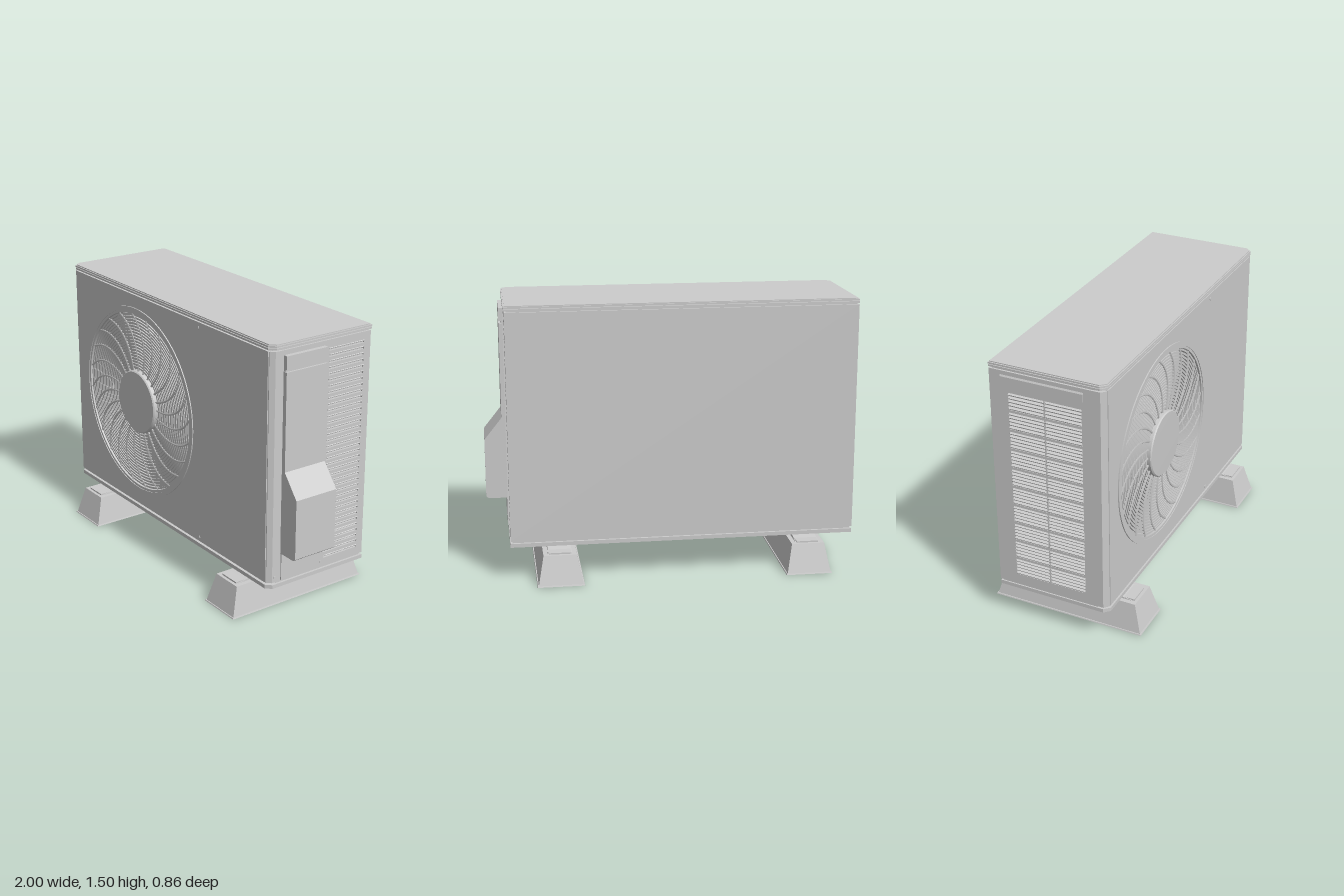
import * as THREE from 'three';
import { toCreasedNormals } from 'three/addons/utils/BufferGeometryUtils.js';

const grey = new THREE.MeshStandardMaterial({ color: 0xcccccc, side: THREE.DoubleSide });

function add(parent, name, geometry, x = 0, y = 0, z = 0) {
  const mesh = new THREE.Mesh(geometry, grey);
  mesh.name = name;
  mesh.position.set(x, y, z);
  parent.add(mesh);
  return mesh;
}

// Box given by its limits on each axis
function block(parent, name, x0, x1, y0, y1, z0, z1) {
  const g = new THREE.BoxGeometry(x1 - x0, y1 - y0, z1 - z0);
  return add(parent, name, g, (x0 + x1) / 2, (y0 + y1) / 2, (z0 + z1) / 2);
}

const poly = pts => new THREE.Shape(pts.map(p => new THREE.Vector2(...p)));
const rect = (u0, u1, v0, v1) => poly([[u0, v0], [u1, v0], [u1, v1], [u0, v1]]);
const extrude = (shape, depth) =>
  new THREE.ExtrudeGeometry(shape, { depth, bevelEnabled: false, curveSegments: 48 });

// Floor plan (x, z) pulled up from y0 to y1
function slab(parent, name, plan, y0, y1) {
  const g = extrude(poly(plan.map(([x, z]) => [x, -z])), y1 - y0).rotateX(-Math.PI / 2);
  return add(parent, name, g, 0, y0, 0);
}

// Side outline (z, y) whose +x surface lies at xOuter
function sidePlate(parent, name, shape, xOuter, depth) {
  return add(parent, name, extrude(shape, depth).rotateY(-Math.PI / 2), xOuter);
}

// Ring of rectangular section about the z axis
function ring(parent, name, r0, r1, z0, z1, segments = 72) {
  const pts = [[r0, z0], [r1, z0], [r1, z1], [r0, z1], [r0, z0]].map(p => new THREE.Vector2(...p));
  const g = new THREE.LatheGeometry(pts, segments).rotateX(Math.PI / 2);
  return add(parent, name, toCreasedNormals(g, 0.6));
}

// Rectangular outline with the two front corners cut
const plan = (x0, x1, z0, z1, c) =>
  [[x0, z0], [x1, z0], [x1, z1 - c], [x1 - c, z1], [x0 + c, z1], [x0, z1 - c]];

function buildCabinet() {
  const g = new THREE.Group();
  g.name = 'cabinet';
  block(g, 'innerBody', -0.985, 0.87, 0.2, 1.485, -0.305, 0.25);
  block(g, 'backPanel', -0.995, 0.88, 0.225, 1.465, -0.317, -0.3);

  // Front panel with the fan opening
  const front = rect(-0.962, 0.852, 0.225, 1.465);
  front.holes.push(new THREE.Path().absarc(-0.325, 0.85, 0.525, 0, Math.PI * 2, true));
  add(g, 'frontPanel', extrude(front, 0.06), 0, 0, 0.25);

  // Cut front corner posts
  slab(g, 'leftPost', [[-0.995, 0.24], [-0.965, 0.24], [-0.965, 0.308], [-0.97, 0.308], [-0.995, 0.285]], 0.225, 1.465);
  slab(g, 'rightPost', [[0.88, 0.24], [0.88, 0.285], [0.86, 0.308], [0.855, 0.308], [0.855, 0.24]], 0.225, 1.465);

  // Lid and base tray, each in two thin steps
  slab(g, 'lidLip', plan(-0.995, 0.885, -0.318, 0.312, 0.03), 1.473, 1.483);
  slab(g, 'lid', plan(-0.995, 0.885, -0.32, 0.312, 0.03), 1.486, 1.495);
  slab(g, 'lidTop', plan(-0.988, 0.878, -0.315, 0.305, 0.028), 1.495, 1.5);
  slab(g, 'baseTray', plan(-0.992, 0.882, -0.318, 0.312, 0.03), 0.192, 0.213);

  // Screws
  for (const y of [0.25, 1.435]) {
    add(g, 'screw', new THREE.CylinderGeometry(0.008, 0.008, 0.006, 12).rotateX(Math.PI / 2), 0.27, y, 0.311);
  }
  for (const z of [0.27, -0.03]) {
    add(g, 'sideScrew', new THREE.CylinderGeometry(0.007, 0.007, 0.006, 12).rotateZ(Math.PI / 2), 0.881, 0.255, z);
  }
  return g;
}

function buildFanGuard() {
  const g = new THREE.Group();
  g.name = 'fanGuard';
  g.position.set(-0.325, 0.85, 0);
  ring(g, 'outerRim', 0.522, 0.543, 0.25, 0.316, 96);
  ring(g, 'innerRim', 0.508, 0.524, 0.25, 0.312, 96);
  for (let i = 0; i < 19; i++) {
    const r = 0.192 + i * 0.0168;
    ring(g, 'guardRing', r, r + 0.0105, 0.293, 0.303);
  }
  // Swept spokes
  const spokes = 24;
  for (let i = 0; i < spokes; i++) {
    const pts = [];
    for (let k = 0; k <= 5; k++) {
      const t = k / 5;
      const r = 0.175 + 0.34 * t;
      const a = (i / spokes) * Math.PI * 2 + 0.38 * t * t;
      pts.push(new THREE.Vector3(r * Math.cos(a), r * Math.sin(a), 0.301));
    }
    add(g, 'spoke', new THREE.TubeGeometry(new THREE.CatmullRomCurve3(pts), 14, 0.007, 4));
  }
  // Hub cap with a softened edge
  const cap = [[0, 0.25], [0.18, 0.25], [0.18, 0.317], [0.174, 0.323], [0, 0.325]];
  const hub = new THREE.LatheGeometry(cap.map(p => new THREE.Vector2(...p)), 64).rotateX(Math.PI / 2);
  add(g, 'hubCap', toCreasedNormals(hub, 0.5));
  return g;
}

function buildRightSide() {
  const g = new THREE.Group();
  g.name = 'rightSide';
  // Slotted skin with a small lip over each slot
  const skin = rect(-0.315, 0.25, 0.225, 1.465);
  const rows = 36;
  for (let i = 0; i < rows; i++) {
    const y = 0.27 + i * 0.0325;
    skin.holes.push(rect(-0.275, -0.05, y, y + 0.013));
    const lip = block(g, 'slotLip', 0.876, 0.884, y + 0.012, y + 0.015, -0.275, -0.05);
    lip.rotation.z = -0.5;
  }
  sidePlate(g, 'slottedPanel', skin, 0.88, 0.011);

  // Service cover, top handle piece and pipe housing
  block(g, 'lowerCover', 0.87, 0.886, 0.23, 0.39, -0.018, 0.232);
  block(g, 'serviceCover', 0.87, 0.904, 0.38, 1.357, -0.02, 0.235);
  block(g, 'coverSeam', 0.87, 0.893, 1.35, 1.375, -0.018, 0.233);
  block(g, 'handlePiece', 0.87, 0.904, 1.37, 1.44, -0.02, 0.235);
  const housing = poly([[0.88, 0.38], [0.985, 0.38], [1, 0.392], [1, 0.715], [0.904, 0.835], [0.88, 0.835]]);
  add(g, 'pipeHousing', extrude(housing, 0.255), 0, 0, -0.02);
  return g;
}

function buildLeftSide() {
  const g = new THREE.Group();
  g.name = 'leftSide';
  // Skin with ten windows, each filled by sloping fins
  const skin = rect(-0.315, 0.25, 0.225, 1.465);
  for (let i = 0; i < 10; i++) {
    const y = 0.285 + i * 0.108;
    skin.holes.push(rect(-0.215, 0.185, y, y + 0.094));
    for (let k = 0; k < 5; k++) {
      const fin = block(g, 'fin', -0.998, -0.984, y + 0.006 + k * 0.019, y + 0.012 + k * 0.019, -0.215, 0.185);
      fin.rotation.z = 0.45;
    }
    block(g, 'finDivider', -0.997, -0.984, y, y + 0.094, -0.02, -0.012);
  }
  sidePlate(g, 'louvrePanel', skin, -0.984, 0.011);
  // Sloping hood above the louvres
  const hood = poly([[-0.98, 1.395], [-0.98, 1.447], [-0.993, 1.447], [-1, 1.435], [-1, 1.395]]);
  add(g, 'hood', extrude(hood, 0.45), 0, 0, -0.255);
  return g;
}

// Raised outline pressed into the underside
function pressedLoop(parent, x0, x1, z0, z1, r) {
  const s = new THREE.Shape();
  s.absarc(x1 - r, z1 - r, r, 0, Math.PI / 2);
  s.absarc(x0 + r, z1 - r, r, Math.PI / 2, Math.PI);
  s.absarc(x0 + r, z0 + r, r, Math.PI, Math.PI * 1.5);
  s.absarc(x1 - r, z0 + r, r, Math.PI * 1.5, Math.PI * 2);
  const pts = s.getSpacedPoints(48).slice(0, -1).map(p => new THREE.Vector3(p.x, 0, p.y));
  const path = new THREE.CatmullRomCurve3(pts, true);
  add(parent, 'pressedRib', new THREE.TubeGeometry(path, 64, 0.005, 6, true), 0, 0.192, 0);
}

function buildUnderside() {
  const g = new THREE.Group();
  g.name = 'underside';
  pressedLoop(g, -0.6, -0.17, -0.16, 0.14, 0.06);
  pressedLoop(g, -0.06, 0.42, -0.2, 0.12, 0.06);
  pressedLoop(g, -0.5, 0.3, 0.2, 0.25, 0.02);
  for (const [x, z, r] of [[-0.264, -0.23, 0.035], [0.16, -0.09, 0.02]]) {
    add(g, 'drainCollar', new THREE.TorusGeometry(r, 0.005, 6, 32).rotateX(Math.PI / 2), x, 0.191, z);
  }
  block(g, 'drainPlate', -0.97, -0.72, 0.186, 0.194, 0.15, 0.27);
  return g;
}

// Four-sided block narrowing from the bottom to the top
function taper(parent, name, bx, bz, tx, tz, y0, y1) {
  const g = new THREE.BoxGeometry(2, y1 - y0, 2);
  const p = g.attributes.position;
  for (let i = 0; i < p.count; i++) {
    const top = p.getY(i) > 0;
    p.setX(i, p.getX(i) * (top ? tx : bx));
    p.setZ(i, p.getZ(i) * (top ? tz : bz));
  }
  g.computeVertexNormals();
  return add(parent, name, g, 0, (y0 + y1) / 2, 0);
}

function buildFoot(x) {
  const g = new THREE.Group();
  g.name = 'foot';
  g.position.x = x;
  taper(g, 'footFlange', 0.127, 0.432, 0.125, 0.43, 0, 0.006);
  taper(g, 'footBlock', 0.12, 0.425, 0.09, 0.382, 0.006, 0.16);
  taper(g, 'mountPad', 0.065, 0.36, 0.063, 0.24, 0.16, 0.178);
  taper(g, 'mountRail', 0.05, 0.19, 0.05, 0.19, 0.176, 0.195);
  for (const z of [-0.33, 0.33]) {
    block(g, 'mountClip', -0.06, 0.06, 0.16, 0.168, z - 0.035, z + 0.035);
  }
  return g;
}

export function createModel() {
  const model = new THREE.Group();
  model.name = 'outdoorUnit';
  model.add(buildCabinet(), buildFanGuard(), buildRightSide(), buildLeftSide(), buildUnderside());
  for (const x of [-0.735, 0.62]) model.add(buildFoot(x));
  return model;
}
